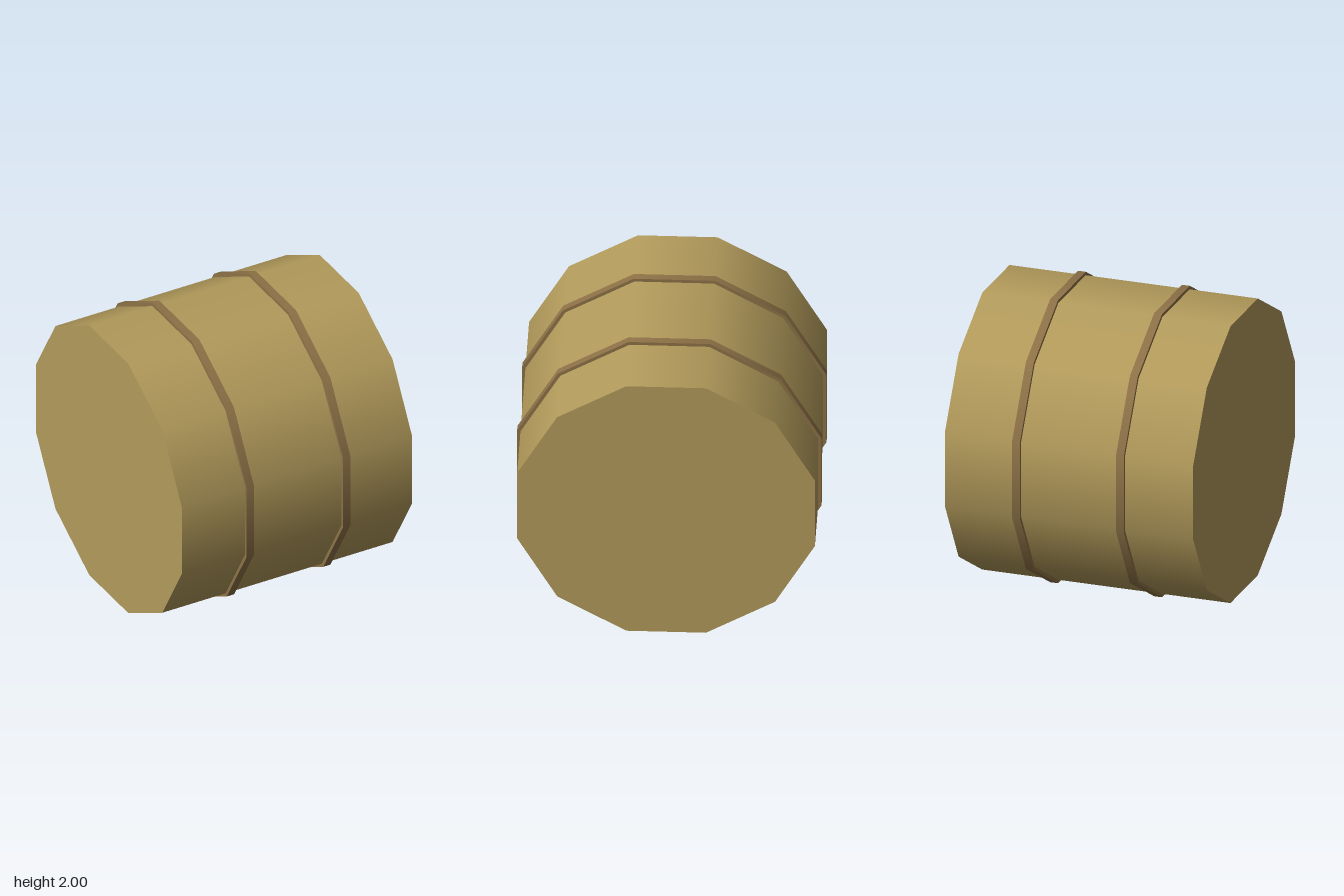
import * as THREE from 'three';

const SIDES = 12;

// Twelve-sided drum lying along x, with a flat facet underneath.
function drum(apothem, length) {
  const radius = apothem / Math.cos(Math.PI / SIDES);
  return new THREE.CylinderGeometry(radius, radius, length, SIDES)
    .rotateY(Math.PI / SIDES)
    .rotateZ(Math.PI / 2);
}

export function createModel() {
  const model = new THREE.Group();
  model.name = 'barrel';

  const tan = new THREE.MeshStandardMaterial({ color: 0xb39b5b });
  tan.name = 'tan';
  const brown = new THREE.MeshStandardMaterial({ color: 0x8e7247 });
  brown.name = 'brown';

  // Barrel body with flat ends
  const body = new THREE.Mesh(drum(0.978, 1.734), tan);
  body.name = 'body';
  body.position.y = 1;
  model.add(body);

  // Two raised hoops
  for (const side of [-1, 1]) {
    const hoop = new THREE.Mesh(drum(1, 0.055), brown);
    hoop.name = side > 0 ? 'leftHoop' : 'rightHoop';
    hoop.position.set(side * 0.363, 1, 0);
    model.add(hoop);
  }

  return model;
}
